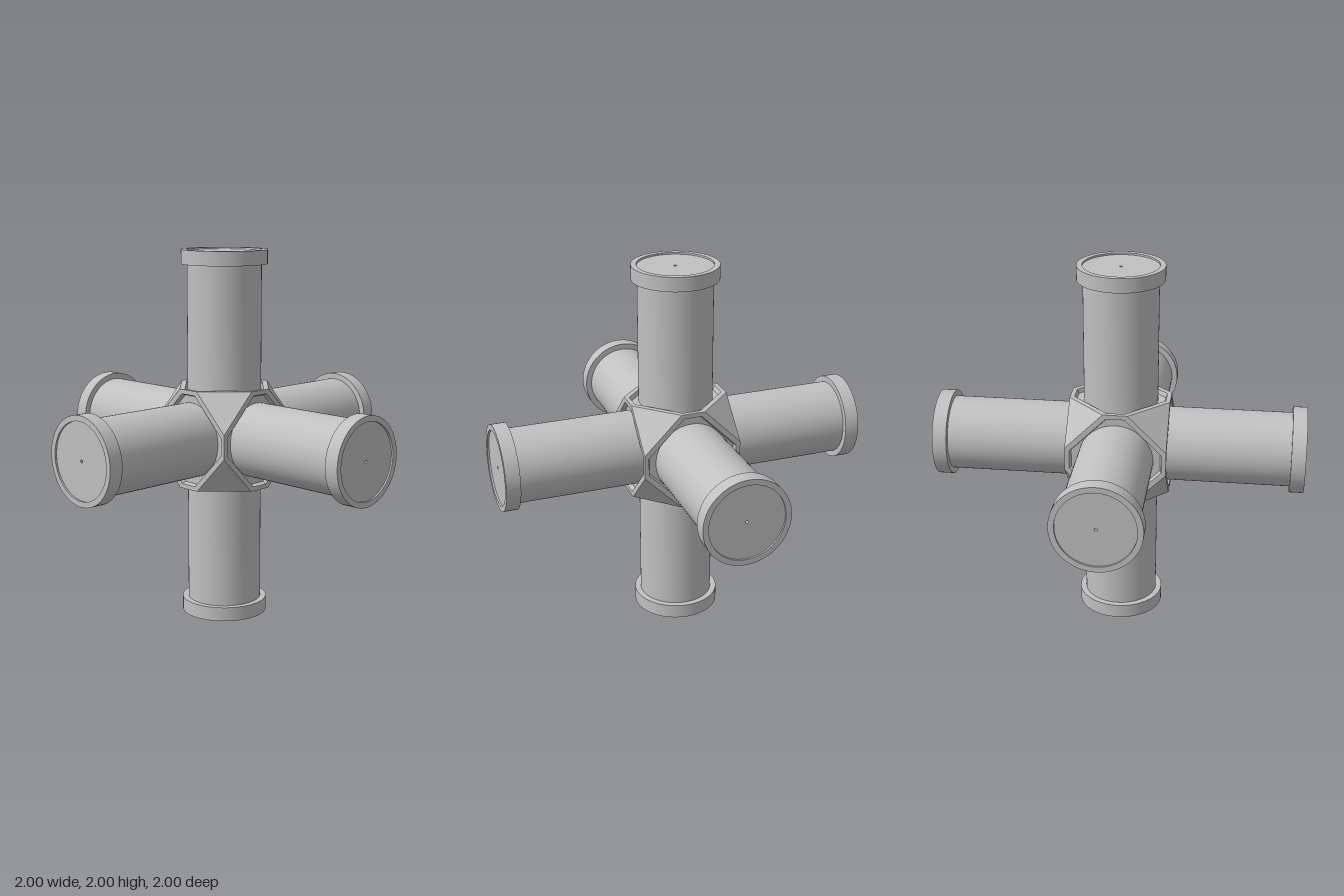
import * as THREE from 'three';
import { toCreasedNormals } from 'three/addons/utils/BufferGeometryUtils.js';

const HALF = 0.27;   // half width of the hub
const CUT = 0.065;   // half length of the hub edge left between two corner cuts

const grey = new THREE.MeshStandardMaterial({ color: 0xc0c0c0 });
grey.name = 'light grey';

function flatGeometry(points) {
  const geometry = new THREE.BufferGeometry();
  geometry.setAttribute('position', new THREE.Float32BufferAttribute(points.flat(), 3));
  geometry.computeVertexNormals();
  return geometry;
}

// Octagon with long diagonal sides, counter-clockwise seen from +z
const octagon = (a, c, z) => [
  [a, -c, z], [a, c, z], [c, a, z], [-c, a, z],
  [-a, c, z], [-a, -c, z], [-c, -a, z], [c, -a, z],
];

// Hub face: flat rim, short sloping wall and recessed floor
function hubFaceGeometry() {
  const rings = [
    octagon(HALF, CUT, HALF),
    octagon(0.246, 0.049, HALF),
    octagon(0.237, 0.048, 0.246),
    octagon(0, 0, 0.246),
  ];
  const points = [];
  for (let r = 0; r < rings.length - 1; r++) {
    for (let i = 0; i < 8; i++) {
      const j = (i + 1) % 8;
      const outer = rings[r], inner = rings[r + 1];
      points.push(outer[i], outer[j], inner[j]);
      if (r < 2) points.push(outer[i], inner[j], inner[i]);
    }
  }
  return flatGeometry(points);
}

// Eight triangular corner cuts of the hub
function hubCornersGeometry() {
  const points = [];
  for (const x of [-1, 1]) for (const y of [-1, 1]) for (const z of [-1, 1]) {
    const corner = [[CUT, HALF, HALF], [HALF, CUT, HALF], [HALF, HALF, CUT]]
      .map((p) => [p[0] * x, p[1] * y, p[2] * z]);
    if (x * y * z < 0) corner.reverse();
    points.push(...corner);
  }
  return flatGeometry(points);
}

// Turned part along +z from [radius, distance] pairs
function turned(profile, segments) {
  const lathe = new THREE.LatheGeometry(profile.map(([r, d]) => new THREE.Vector2(r, d)), segments);
  lathe.rotateX(Math.PI / 2);
  return toCreasedNormals(lathe, 0.6);
}

export function createModel() {
  const model = new THREE.Group();
  model.name = 'sixWayPipeJoint';

  const add = (parent, geometry, name) => {
    const mesh = new THREE.Mesh(geometry, grey);
    mesh.name = name;
    parent.add(mesh);
  };

  const hubFace = hubFaceGeometry();
  const pipe = turned([[0.2, 0.24], [0.2, 0.93]], 64);
  const collar = turned([[0.2, 0.923], [0.232, 0.923], [0.232, 1], [0.202, 1], [0.202, 0.99]], 64);
  const endPlate = turned([[0.202, 0.99], [0.008, 0.99]], 64);
  const pinHole = turned([[0.008, 0.99], [0.008, 0.93], [0, 0.93]], 16);

  const joint = new THREE.Group();
  joint.name = 'joint';
  joint.position.y = 1;
  model.add(joint);
  add(joint, hubCornersGeometry(), 'hubCorners');

  // One identical arm in each of the six directions
  const q = Math.PI / 2;
  const arms = {
    front: [0, 0], left: [0, q], back: [0, 2 * q], right: [0, -q], top: [-q, 0], bottom: [q, 0],
  };
  for (const [side, [rx, ry]] of Object.entries(arms)) {
    const arm = new THREE.Group();
    arm.name = side + 'Arm';
    arm.rotation.set(rx, ry, 0);
    add(arm, hubFace, 'hubFace');
    add(arm, pipe, 'pipe');
    add(arm, collar, 'collar');
    add(arm, endPlate, 'endPlate');
    add(arm, pinHole, 'pinHole');
    joint.add(arm);
  }
  return model;
}
